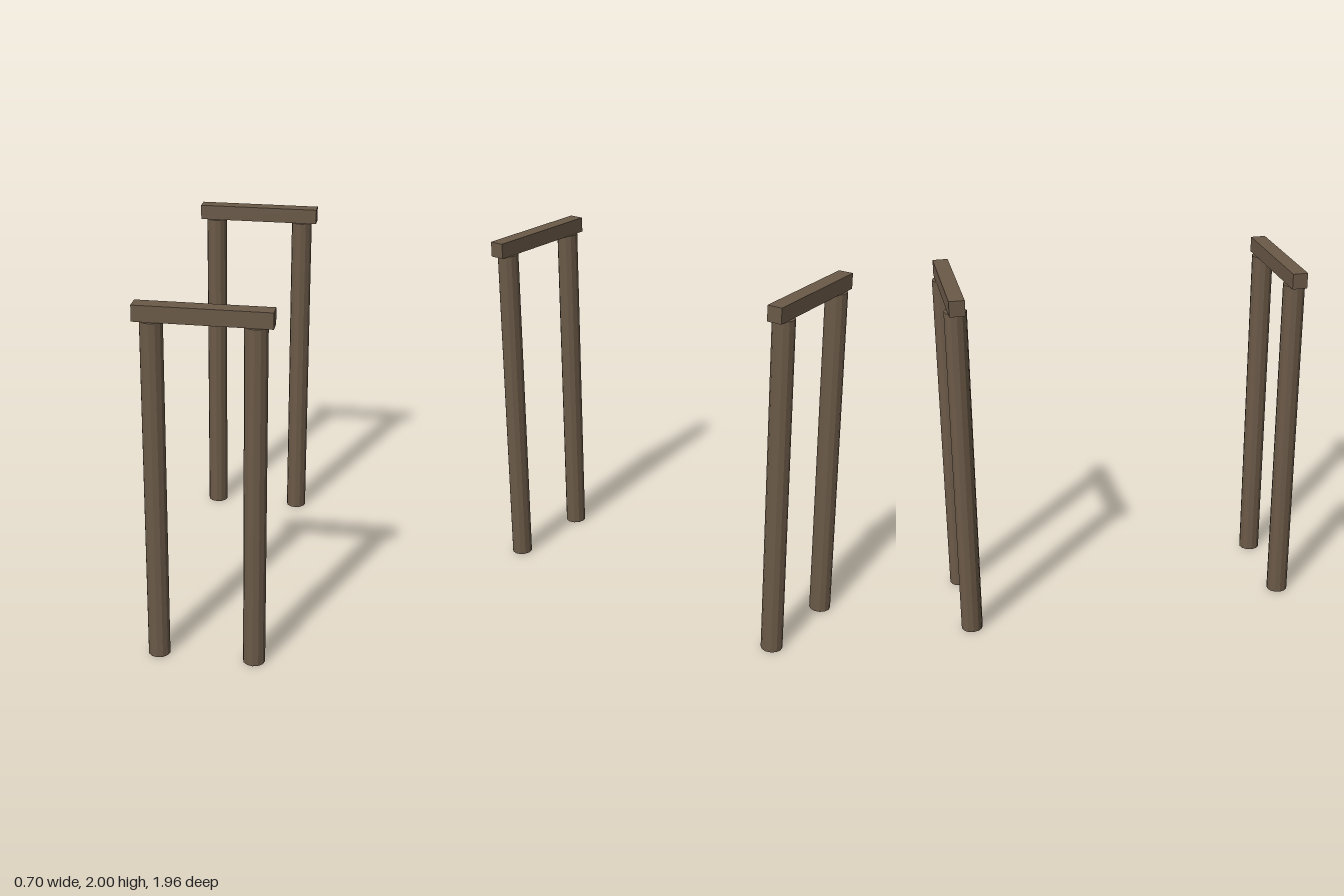
import * as THREE from 'three';

export function createModel() {
  const model = new THREE.Group();
  model.name = 'postFrames';
  const wood = new THREE.MeshStandardMaterial({ color: 0x6b5a48, flatShading: true });
  wood.name = 'brown wood';

  const postHeight = 1.915;
  const beamHeight = 2 - postHeight;
  const postGeometry = new THREE.CylinderGeometry(0.06, 0.06, postHeight, 12);
  const beamGeometry = new THREE.BoxGeometry(0.7, beamHeight, 0.083);

  // One frame at each end: two round posts under a square crossbeam
  for (const [end, z] of [['front', 0.92], ['back', -0.92]]) {
    const frame = new THREE.Group();
    frame.name = end + 'Frame';
    frame.position.z = z;

    for (const [side, x] of [['Left', 0.26], ['Right', -0.26]]) {
      const post = new THREE.Mesh(postGeometry, wood);
      post.name = end + side + 'Post';
      post.position.set(x, postHeight / 2, 0);
      frame.add(post);
    }

    const beam = new THREE.Mesh(beamGeometry, wood);
    beam.name = end + 'Crossbeam';
    beam.position.y = postHeight + beamHeight / 2;
    frame.add(beam);
    model.add(frame);
  }
  return model;
}
